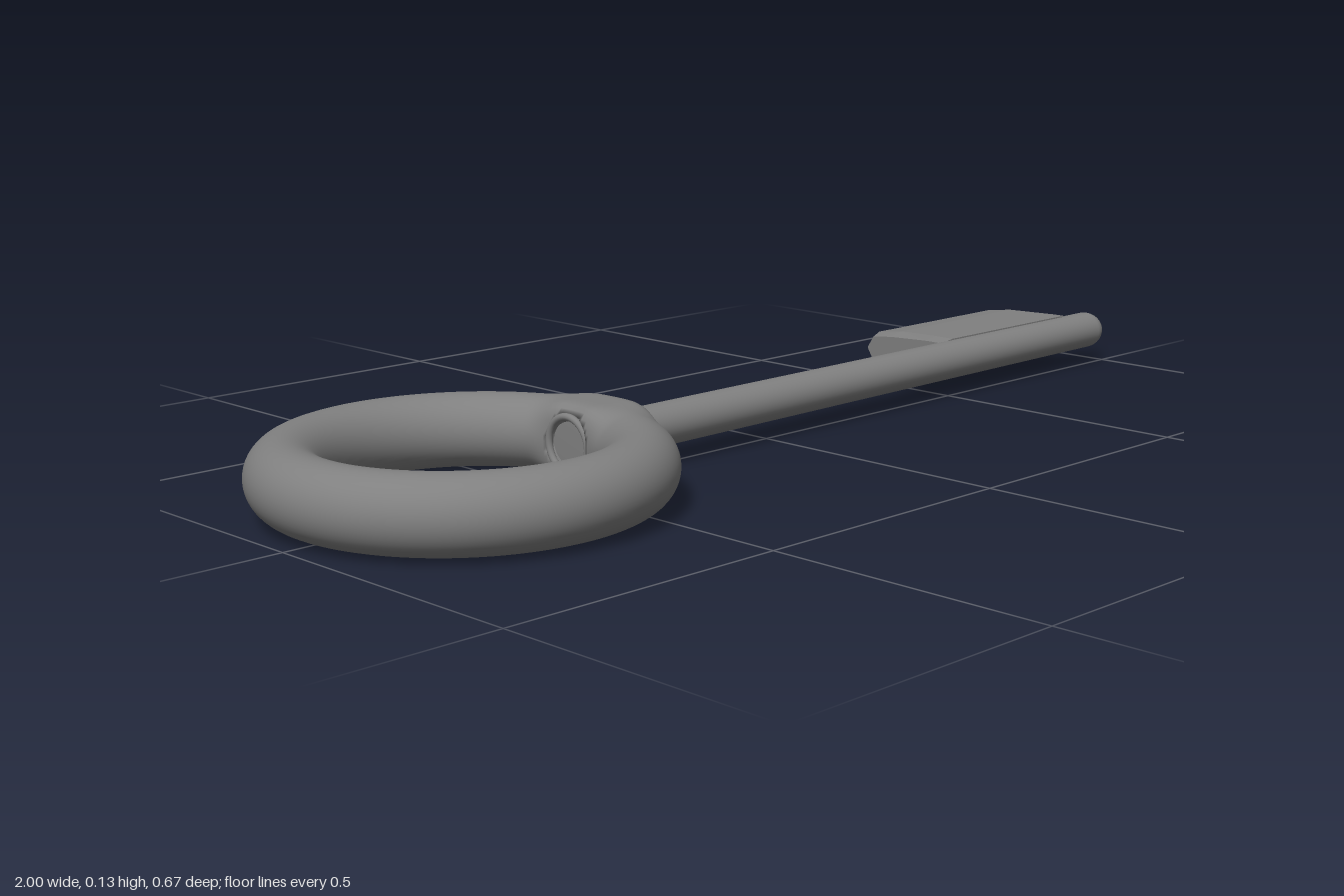
import * as THREE from 'three';
import { mergeVertices } from 'three/addons/utils/BufferGeometryUtils.js';
import { ConvexGeometry } from 'three/addons/geometries/ConvexGeometry.js';

const Y = 0.069;           // height of the key's mid plane
const RING_X = -0.667, RING_R = 0.272, TUBE_R = 0.062;

// Round bow that swells to a squarer section at the shaft, with a bore sunk into it
function bowGeometry() {
  let g = new THREE.TorusGeometry(RING_R, TUBE_R, 48, 240).rotateX(Math.PI / 2);
  const p = g.attributes.position;
  for (let i = 0; i < p.count; i++) {
    const x = p.getX(i), z = p.getZ(i), a = Math.atan2(z, x);
    let y = p.getY(i), d = Math.hypot(x, z) - RING_R;
    const w = 1 - THREE.MathUtils.smoothstep(Math.abs(a), 0.12, 0.45);
    const u = Math.abs(d / TUBE_R), v = Math.abs(y / TUBE_R);
    const k = 1 + w * (1 / Math.pow(u ** 5 + v ** 5, 0.2) - 1);
    d *= k;
    y *= k * (1 + 0.06 * w);
    if (x > 0 && Math.hypot(y, z) < 0.045) d *= 0.3;
    p.setXYZ(i, Math.cos(a) * (RING_R + d), y, Math.sin(a) * (RING_R + d));
  }
  g.deleteAttribute('uv');
  g.deleteAttribute('normal');
  g = mergeVertices(g, 1e-5);
  g.computeVertexNormals();
  return g;
}

// Shaft profile along its axis, with a rounded tip
function shaftGeometry() {
  const pts = [[0, -0.45], [0.037, -0.45], [0.037, -0.449], [0.036, 0.2], [0.0355, 0.96]];
  for (let i = 1; i <= 10; i++) {
    const t = (i / 10) * Math.PI / 2;
    pts.push([0.0355 * Math.cos(t), 0.96 + 0.037 * Math.sin(t)]);
  }
  return new THREE.LatheGeometry(pts.map(([r, h]) => new THREE.Vector2(Math.max(r, 0), h)), 40);
}

// Faceted bit: mirrored sections along x, each a list of [z, half thickness]
function bitGeometry() {
  const full = [[-0.02, 0.038], [-0.06, 0.038], [-0.15, 0.036], [-0.207, 0.028], [-0.233, 0]];
  const end = [[-0.02, 0.033], [-0.06, 0.033], [-0.15, 0.029], [-0.195, 0.024], [-0.21, 0]];
  const points = [];
  for (const [x, section] of [[0.504, end], [0.535, full], [0.88, full], [0.912, end]])
    for (const [z, h] of section)
      for (const s of h ? [-1, 1] : [0]) points.push(new THREE.Vector3(x, s * h, z));
  return new ConvexGeometry(points);
}

export function createModel() {
  const metal = new THREE.MeshStandardMaterial({ color: 0x808080 });
  metal.name = 'grey metal';
  const key = new THREE.Group();
  key.name = 'key';
  const add = (name, geometry, x, y, z) => {
    const mesh = new THREE.Mesh(geometry, metal);
    mesh.name = name;
    mesh.position.set(x, y, z);
    key.add(mesh);
    return mesh;
  };

  add('bow', bowGeometry(), RING_X, Y, 0);

  // Rounded lips around both mouths of the bore
  for (const [name, x] of [['outerLip', -0.337], ['innerLip', -0.457]])
    add(name, new THREE.TorusGeometry(0.047, 0.006, 12, 48).rotateY(Math.PI / 2), x, Y, 0);

  // Shaft leans very slightly towards the bit side
  const shaft = add('shaft', shaftGeometry(), 0, Y, -0.008);
  shaft.rotation.set(0, 0.012, -Math.PI / 2);
  shaft.scale.z = 1.08;

  add('bit', bitGeometry(), 0, Y, 0);
  return key;
}
